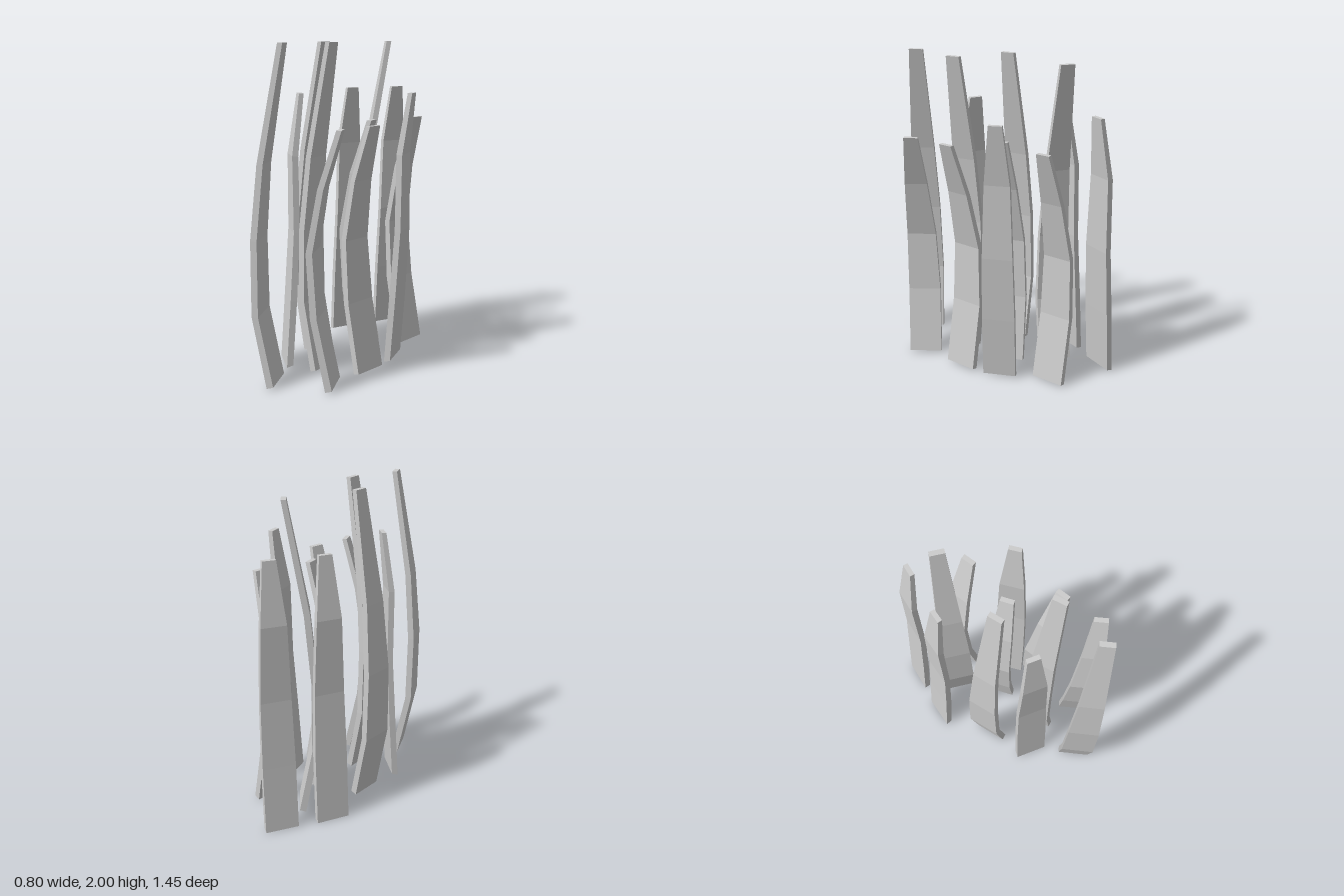
import * as THREE from 'three';

// Blade profiles, one row per cross-section, bottom to top:
// [height, back offset, front offset, width, sideways drift]
// The blade leans along local +x and is wide along local z.
const PROFILES = {
  tallBlade: [
    [0, -0.04, 0, 0.21, 0],
    [0.44, -0.122, -0.083, 0.21, 0],
    [0.89, -0.122, -0.083, 0.19, 0],
    [1.33, -0.08, -0.043, 0.15, 0],
    [2.0, 0.044, 0.074, 0.085, 0],
  ],
  straightBlade: [
    [0, 0, 0.04, 0.21, 0],
    [0.43, 0.03, 0.07, 0.207, 0],
    [0.86, 0.058, 0.095, 0.188, 0],
    [1.33, 0.058, 0.095, 0.155, 0],
    [1.7, 0.112, 0.14, 0.08, 0],
  ],
  shortBlade: [
    [0, -0.04, 0, 0.21, 0],
    [0.44, -0.126, -0.086, 0.208, 0.003],
    [0.83, -0.148, -0.11, 0.185, 0.012],
    [1.2, -0.08, -0.045, 0.14, 0.025],
    [1.53, 0.025, 0.055, 0.085, 0.03],
  ],
};

// Placement of every blade: [x, z, turn in degrees]
const PLACES = {
  tallBlade: [[-0.23, 0.6, 8.4], [-0.054, 0.295, -13.5], [-0.23, -0.006, -17], [0.054, -0.355, 28]],
  straightBlade: [[0.014, -0.657, -44], [-0.221, -0.426, -41], [0.258, -0.023, 0], [-0.337, 0.308, 36]],
  shortBlade: [[0.11, 0.523, 9], [0.097, -0.037, -3], [0.23, 0.254, -24], [0.305, -0.333, -23]],
};

// Lofts a four-cornered section through the rows of a profile and caps both ends
function bladeGeometry(rows) {
  const positions = [];
  const indices = [];
  rows.forEach(([y, back, front, width, drift], r) => {
    const frontY = r === 0 ? 0.012 : y; // the foot is cut slightly askew
    const a = drift - width / 2;
    const b = drift + width / 2;
    positions.push(back, y, a, back, y, b, front, frontY, b, front, frontY, a);
  });
  for (let r = 0; r < rows.length - 1; r++) {
    for (let i = 0; i < 4; i++) {
      const p = r * 4 + i;
      const q = r * 4 + ((i + 1) % 4);
      indices.push(p, q, q + 4, p, q + 4, p + 4);
    }
  }
  const t = (rows.length - 1) * 4;
  indices.push(0, 2, 1, 0, 3, 2, t, t + 1, t + 2, t, t + 2, t + 3);

  const geometry = new THREE.BufferGeometry();
  geometry.setAttribute('position', new THREE.Float32BufferAttribute(positions, 3));
  geometry.setIndex(indices);
  const flat = geometry.toNonIndexed();
  flat.computeVertexNormals();
  return flat;
}

export function createModel() {
  const group = new THREE.Group();
  group.name = 'grassTuft';
  const material = new THREE.MeshStandardMaterial({ color: 0xcccccc, flatShading: true });

  // Four copies of each of the three blades
  for (const [name, rows] of Object.entries(PROFILES)) {
    const geometry = bladeGeometry(rows);
    PLACES[name].forEach(([x, z, turn], i) => {
      const blade = new THREE.Mesh(geometry, material);
      blade.name = `${name}${i + 1}`;
      blade.position.set(x, 0, z);
      blade.rotation.y = THREE.MathUtils.degToRad(turn);
      group.add(blade);
    });
  }
  return group;
}
